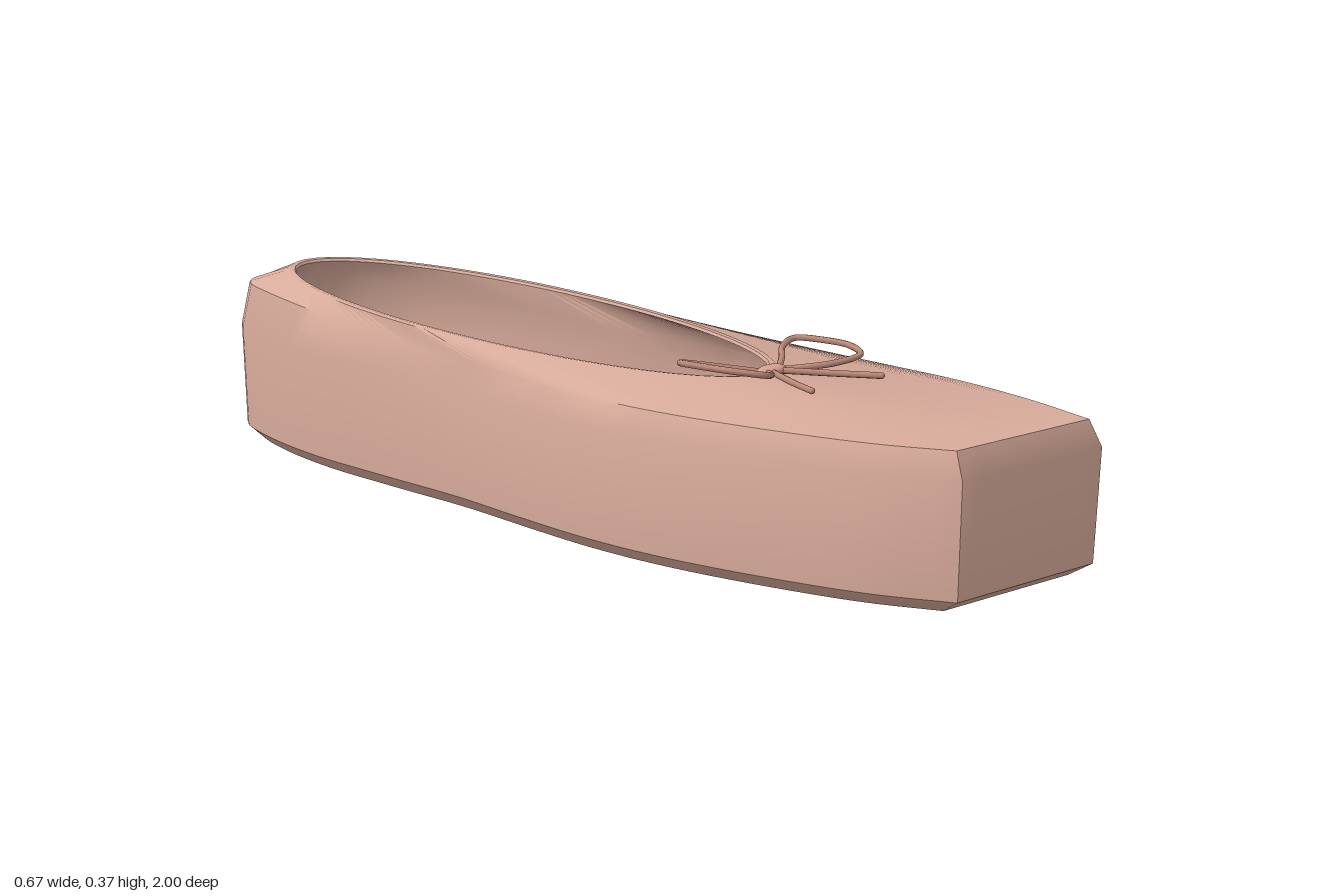
import * as THREE from 'three';
import { toCreasedNormals } from 'three/addons/utils/BufferGeometryUtils.js';

const V = (x, y, z) => new THREE.Vector3(x, y, z);
const material = (name, color) => {
  const m = new THREE.MeshStandardMaterial({ color });
  m.name = name;
  return m;
};

// Plan outline of the foot: right toe corner, around the heel, to the left toe corner
const sidePoints = [
  [0.122, 1], [0.208, 0.81], [0.274, 0.6], [0.313, 0.35], [0.332, 0.1], [0.324, -0.08], [0.316, -0.25],
  [0.322, -0.45], [0.316, -0.65], [0.275, -0.85], [0.2, -0.965], [0.12, -1], [0.04, -1], [-0.02, -0.96],
  [-0.08, -0.85], [-0.147, -0.65], [-0.193, -0.4], [-0.228, -0.18], [-0.275, 0.02], [-0.316, 0.22],
  [-0.333, 0.42], [-0.322, 0.65], [-0.295, 0.83], [-0.25, 0.965],
];
const outline = new THREE.CatmullRomCurve3(sidePoints.map(([x, z]) => V(x, 0, z))).getSpacedPoints(100);
const toeLeft = outline[100], toeRight = outline[0];
for (let i = 1; i < 8; i++) outline.push(toeLeft.clone().lerp(toeRight, i / 8));

// Centre line of the curved foot, and an outline scaled about it at a height
const spine = z => 0.03 - 0.09 * z;
const ring = (sx, sz, y, shift = 0) => outline.map(p => {
  const z = p.z * sz + shift;
  return V(spine(z) + sx * (p.x - spine(p.z)), typeof y === 'function' ? y(p.z) : y, z);
});
const centre = y => outline.map(() => V(0.03, y, 0));

// Slanted oval of the foot opening, narrowed by an inset
const opening = (inset, lift) => outline.map(p => {
  const a = Math.atan2(p.z, (p.x - spine(p.z)) / 0.3);
  const z = -0.262 + (0.654 - inset) * Math.sin(a);
  const x = 0.05 - 0.11 * (z + 0.26) + (0.241 - inset) * Math.cos(a);
  return V(x, 0.371 - 0.042 * (z + 0.91) + lift, z);
});

// Skin between successive closed rings
function loft(rings, crease) {
  const pos = [];
  const tri = (a, b, c) => {
    if (a.equals(b) || b.equals(c) || c.equals(a)) return;
    for (const p of [a, b, c]) pos.push(p.x, p.y, p.z);
  };
  for (let j = 0; j < rings.length - 1; j++) {
    const lo = rings[j], hi = rings[j + 1], n = lo.length;
    for (let i = 0; i < n; i++) {
      const k = (i + 1) % n;
      tri(lo[i], lo[k], hi[k]);
      tri(lo[i], hi[k], hi[i]);
    }
  }
  const g = new THREE.BufferGeometry();
  g.setAttribute('position', new THREE.Float32BufferAttribute(pos, 3));
  return toCreasedNormals(g, crease);
}

export function createModel() {
  const model = new THREE.Group();
  model.name = 'balletSlipper';
  const satin = material('pink satin', 0xd8ab9b);
  const lining = material('grey insole', 0x9c948a);
  const leather = material('brown leather', 0x8a5f4f);
  const ribbon = material('dusky pink ribbon', 0xbb8878);
  const knotPink = material('rose knot', 0xd8a192);
  const add = (name, geometry, mat, parent = model) => {
    const mesh = new THREE.Mesh(geometry, mat);
    mesh.name = name;
    parent.add(mesh);
    return mesh;
  };

  // Upper: underside, wall, vamp, rim, inner wall and floor in one skin
  const heelRise = z => 0.043 * THREE.MathUtils.smoothstep(-z, 0, 0.9);
  add('upper', loft([
    centre(0.02), ring(0.89, 0.95, 0.02), ring(0.975, 0.992, 0.045),
    ring(1, 1, 0.25), ring(0.945, 0.978, z => 0.297 + heelRise(z)),
    opening(0, 0), opening(0.006, 0.003), opening(0.016, 0.002), opening(0.02, -0.003),
    ring(0.89, 0.95, z => 0.277 + heelRise(z)), ring(0.94, 0.96, 0.23),
    ring(0.92, 0.955, 0.05), centre(0.05),
  ], 0.7), satin);

  // Insole
  add('insole', loft([
    ring(0.67, 0.84, 0.049), ring(0.67, 0.84, 0.057), centre(0.057),
  ], 0.5), lining);

  // Outer sole with a bevelled lower edge
  add('outerSole', loft([
    centre(0), ring(0.57, 0.81, 0, -0.03), ring(0.6, 0.823, 0.012, -0.03),
    ring(0.6, 0.823, 0.018, -0.03), ring(0.57, 0.81, 0.022, -0.03),
  ], 0.5), leather);

  // Bow: knot, two loops rising to the sides, two tails
  const bow = new THREE.Group();
  bow.name = 'bow';
  model.add(bow);
  const knot = add('bowKnot', new THREE.SphereGeometry(1, 20, 12), knotPink, bow);
  knot.scale.set(0.038, 0.01, 0.02);
  knot.position.set(-0.012, 0.327, 0.397);
  const cord = (name, points) => {
    const curve = new THREE.CatmullRomCurve3(points);
    add(name, new THREE.TubeGeometry(curve, 48, 0.006, 8, false), ribbon, bow);
    for (const p of [points[0], points[points.length - 1]]) {
      add(name + 'End', new THREE.SphereGeometry(0.006, 8, 6), ribbon, bow).position.copy(p);
    }
  };
  const loopAt = pts => pts.map(([x, z]) => V(x, 0.321 + 0.2 * Math.abs(x + 0.01), z));
  cord('leftLoop', loopAt([[0.01, 0.395], [0.06, 0.365], [0.11, 0.33], [0.15, 0.325], [0.16, 0.38],
    [0.153, 0.45], [0.12, 0.495], [0.07, 0.475], [0.01, 0.402]]));
  cord('rightLoop', loopAt([[-0.03, 0.395], [-0.08, 0.345], [-0.13, 0.305], [-0.165, 0.31], [-0.178, 0.37],
    [-0.17, 0.44], [-0.135, 0.475], [-0.09, 0.455], [-0.03, 0.402]]));
  cord('leftTail', [V(0, 0.326, 0.41), V(0.035, 0.326, 0.49), V(0.067, 0.328, 0.58)]);
  cord('rightTail', [V(-0.025, 0.326, 0.41), V(-0.075, 0.326, 0.49), V(-0.12, 0.328, 0.565)]);

  return model;
}
